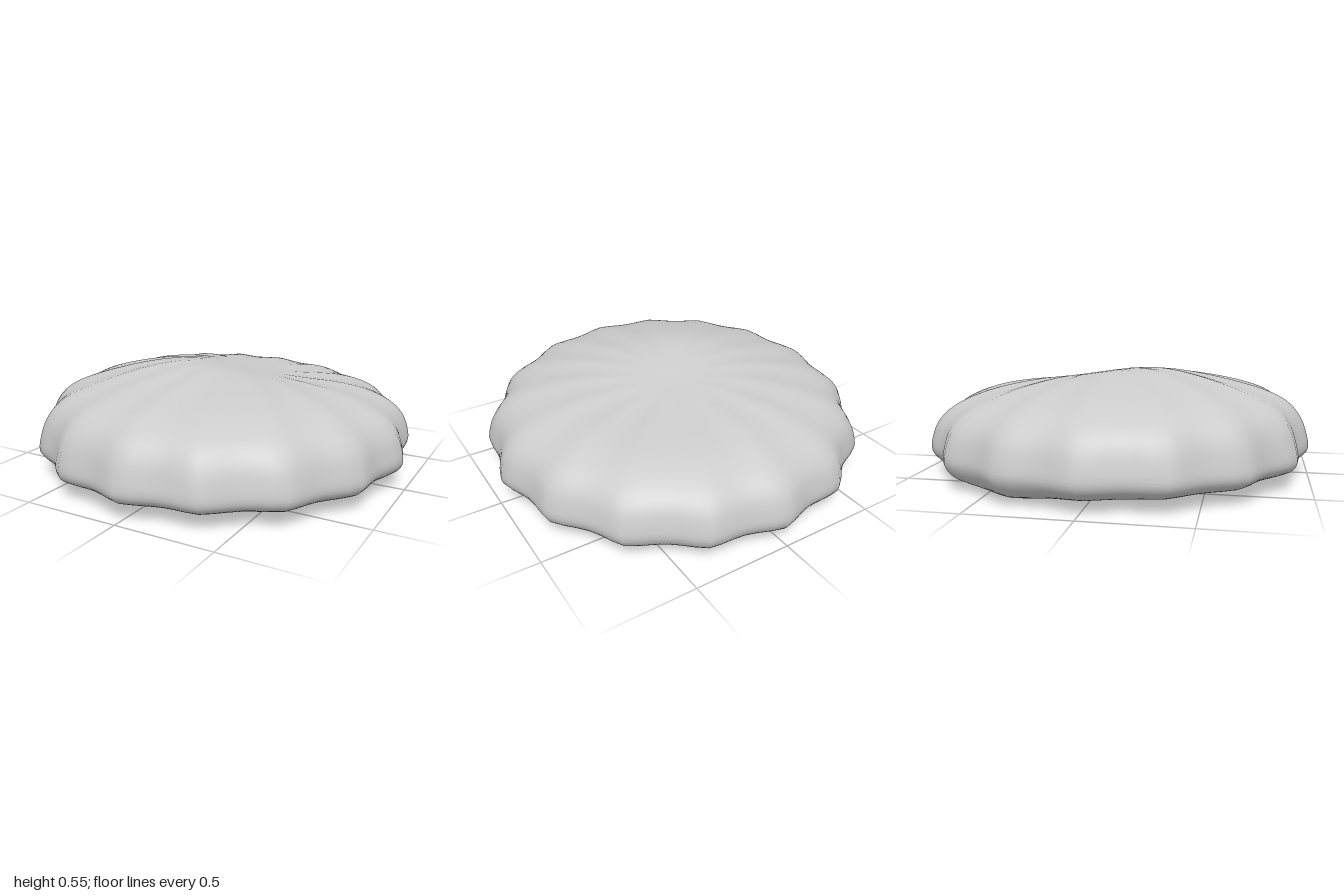
import * as THREE from 'three';
import { mergeVertices } from 'three/addons/utils/BufferGeometryUtils.js';

const LOBES = 16;
const { smoothstep } = THREE.MathUtils;

// Soft round bump used for the uneven top and underside
const bump = (x, z, cx, cz, size) => Math.exp(-((x - cx) ** 2 + (z - cz) ** 2) / (size * size));

function flutedCushion() {
  // Half profile (radius, height) from the underside, round the low rim, to the crown
  const profile = new THREE.SplineCurve([
    [0, 0.04], [0.35, 0.04], [0.7, 0.04], [0.86, 0.05], [0.95, 0.08], [0.995, 0.13], [0.99, 0.2],
    [0.955, 0.29], [0.885, 0.365], [0.77, 0.422], [0.6, 0.468], [0.4, 0.497], [0.2, 0.51], [0, 0.51],
  ].map(([r, y]) => new THREE.Vector2(r, y)));
  const points = profile.getPoints(52);
  points[0].x = points[points.length - 1].x = 0;

  let geometry = new THREE.LatheGeometry(points, LOBES * 6);
  const pos = geometry.attributes.position;
  for (let i = 0; i < pos.count; i++) {
    let x = pos.getX(i), y = pos.getY(i), z = pos.getZ(i);
    const r = Math.hypot(x, z);
    // 0 on the ridge of a lobe, 1 in the wide hollow between ridges
    const wave = Math.abs(Math.sin(LOBES * Math.atan2(x, z) / 2));
    const groove = 0.5 * wave + 0.5 * wave * wave;
    const top = smoothstep(y, 0.2, 0.42);
    const under = 1 - smoothstep(y, 0.04, 0.14);

    // Scalloped outline, strongest at the rim, and faint grooves running to the crown
    const pinch = 1 - 0.042 * groove * smoothstep(r, 0.65, 1) * (1 - 0.3 * top);
    x *= 0.985 * pinch;
    z *= 1.003 * pinch;
    y -= 0.01 * groove * top * smoothstep(r, 0.12, 0.6);

    // Grooves meet slightly behind the middle
    const shift = top * Math.max(0, 1 - r) ** 2;
    x += 0.07 * shift;
    z -= 0.11 * shift;

    // Uneven top: hump, dip behind it and slight tilt
    y += top * (0.048 * bump(x, z, -0.18, 0.18, 0.35) - 0.04 * bump(x, z, 0.27, -0.25, 0.32)
      + 0.022 * z - 0.01 * x);
    // Underside tilts down to the back and sags in two patches
    y += under * (0.012 * z - 0.032 * bump(x, z, -0.66, -0.38, 0.27) - 0.015 * bump(x, z, 0.4, -0.5, 0.3));
    pos.setXYZ(i, x, y, z);
  }

  // Weld the seam so the shading is continuous
  geometry.deleteAttribute('uv');
  geometry.deleteAttribute('normal');
  geometry = mergeVertices(geometry, 1e-5);
  geometry.computeVertexNormals();
  geometry.computeBoundingBox();
  geometry.translate(0, -geometry.boundingBox.min.y, 0);
  return geometry;
}

export function createModel() {
  const group = new THREE.Group();
  group.name = 'flutedBun';
  const body = new THREE.Mesh(flutedCushion(), new THREE.MeshStandardMaterial({ color: 0xcccccc }));
  body.name = 'flutedBody';
  group.add(body);
  return group;
}
